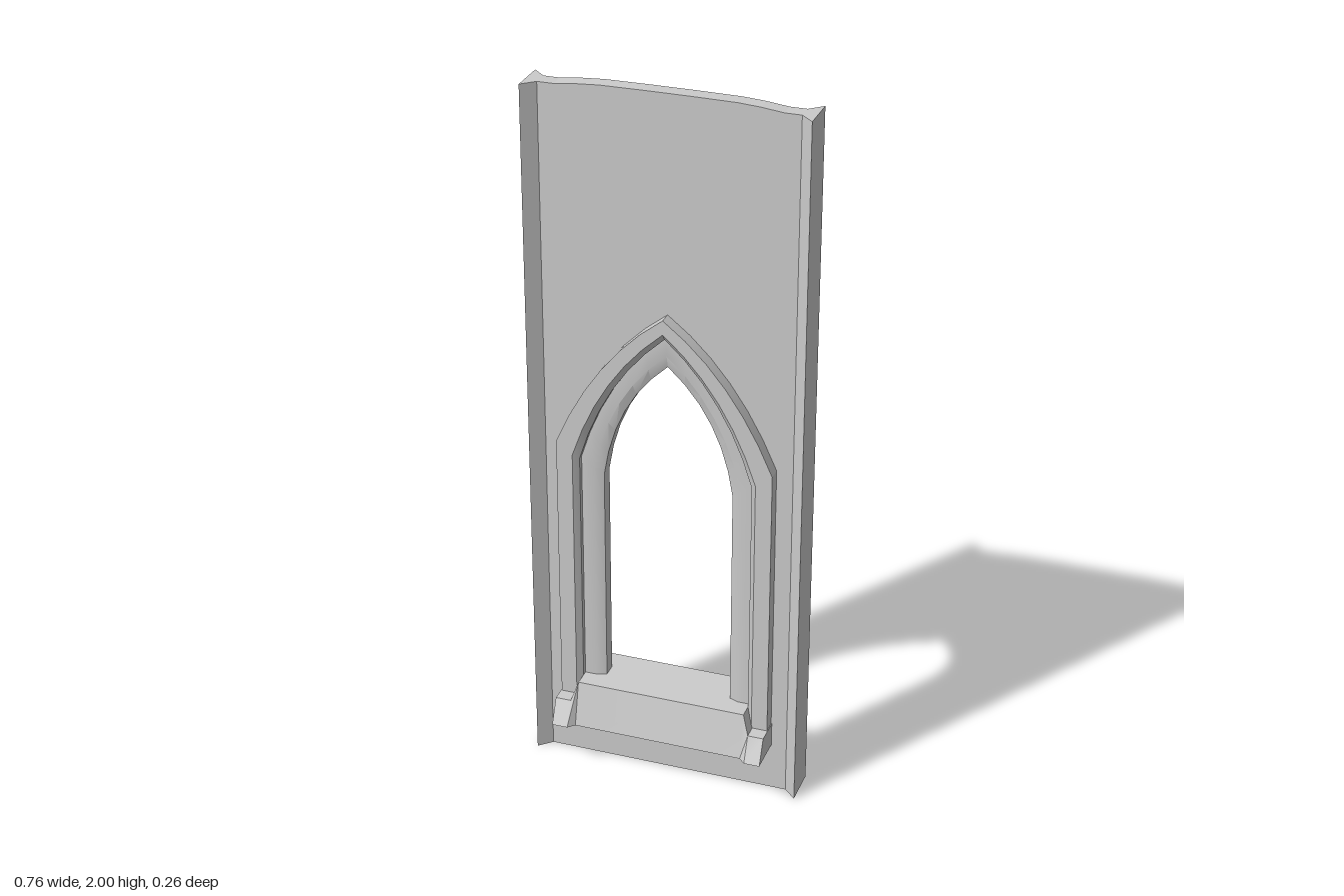
import * as THREE from 'three';
import { toCreasedNormals } from 'three/addons/utils/BufferGeometryUtils.js';

const material = new THREE.MeshStandardMaterial({ color: 0xcccccc });
const FOOT = 0.17; // where the jambs end, inside the sill

// Pointed arch outline from the right foot over the apex to the left foot
function archPoints(w, spring, apex, cx, cy) {
  const curve = new THREE.QuadraticBezierCurve(
    new THREE.Vector2(w, spring), new THREE.Vector2(cx, cy), new THREE.Vector2(0, apex));
  const half = [new THREE.Vector2(w, FOOT), ...curve.getPoints(6)];
  const mirrored = half.slice(0, -1).reverse().map(p => new THREE.Vector2(-p.x, p.y));
  return [...half, ...mirrored];
}

// Skin closed cross-sections, optionally closing both ends
function skin(sections, capped) {
  const n = sections[0].length;
  const index = [];
  for (let i = 0; i < sections.length - 1; i++) {
    for (let j = 0; j < n; j++) {
      const a = i * n + j, b = i * n + (j + 1) % n;
      index.push(a, a + n, b + n, a, b + n, b);
    }
  }
  if (capped) {
    const e = (sections.length - 1) * n;
    for (let j = 1; j < n - 1; j++) index.push(0, j, j + 1, e, e + j + 1, e + j);
  }
  const geometry = new THREE.BufferGeometry();
  geometry.setAttribute('position', new THREE.Float32BufferAttribute(sections.flat(2), 3));
  geometry.setIndex(index);
  geometry.computeVertexNormals();
  return toCreasedNormals(geometry, 0.4);
}

export function createModel() {
  const group = new THREE.Group();
  const add = (geometry, name) => {
    const mesh = new THREE.Mesh(geometry, material);
    mesh.name = name;
    group.add(mesh);
  };

  // Arch outlines, from the outer edge of the moulding to the opening
  const outer = archPoints(0.30, 1.0, 1.40, 0.19, 1.265);
  const lip = archPoints(0.255, 0.965, 1.36, 0.175, 1.215);
  const step = archPoints(0.24, 0.95, 1.34, 0.17, 1.195);
  const chamfer = archPoints(0.205, 0.92, 1.285, 0.16, 1.15);
  const opening = archPoints(0.18, 0.9, 1.25, 0.15, 1.125);

  // Wall panel with a slightly crowned top and a hole hidden behind the frame
  const top = [[0.345, 1.988], [0.30, 1.988], [0.24, 1.995], [0.18, 1.999], [0.06, 2]];
  const outline = [[-0.345, 0], [0.345, 0], ...top, ...top.slice().reverse().map(([x, y]) => [-x, y])];
  const wall = new THREE.Shape(outline.map(p => new THREE.Vector2(...p)));
  wall.holes.push(new THREE.Path(lip));
  const wallGeometry = new THREE.ExtrudeGeometry(wall, { depth: 0.044, bevelEnabled: false });
  wallGeometry.translate(0, 0, -0.022);
  add(wallGeometry, 'wallPanel');

  // Flared edge strips
  for (const s of [1, -1]) {
    const flare = new THREE.Shape([[0.345, -0.022], [0.38, -0.055], [0.38, 0.055], [0.345, 0.022]]
      .map(([x, z]) => new THREE.Vector2(s * x, z)));
    const geometry = new THREE.ExtrudeGeometry(flare, { depth: 1.988, bevelEnabled: false });
    geometry.rotateX(-Math.PI / 2);
    add(geometry, s > 0 ? 'leftEdgeStrip' : 'rightEdgeStrip');
  }

  // Moulded window frame, the same on front and back
  const front = [[outer, 0.06], [lip, 0.06], [step, 0.045], [step, 0.03], [chamfer, 0.03], [opening, 0.02]];
  const rings = [...front, ...front.slice().reverse().map(([arch, z]) => [arch, -z])];
  const stations = outer.map((_, i) => rings.map(([arch, z]) => [arch[i].x, arch[i].y, z]));
  add(skin(stations, false), 'windowFrame');

  // Sloped sill with lower, deeper ends
  const sillSection = (x, bottomZ, topZ, topY) => [
    [x, 0.14, -bottomZ], [x, 0.14, bottomZ], [x, topY, topZ], [x, topY, -topZ]];
  const end = [0.132, 0.10, 0.21], middle = [0.114, 0.085, 0.265];
  add(skin([
    sillSection(-0.302, ...end), sillSection(-0.258, ...end), sillSection(-0.24, ...middle),
    sillSection(0.24, ...middle), sillSection(0.258, ...end), sillSection(0.302, ...end),
  ], true), 'windowSill');

  return group;
}
